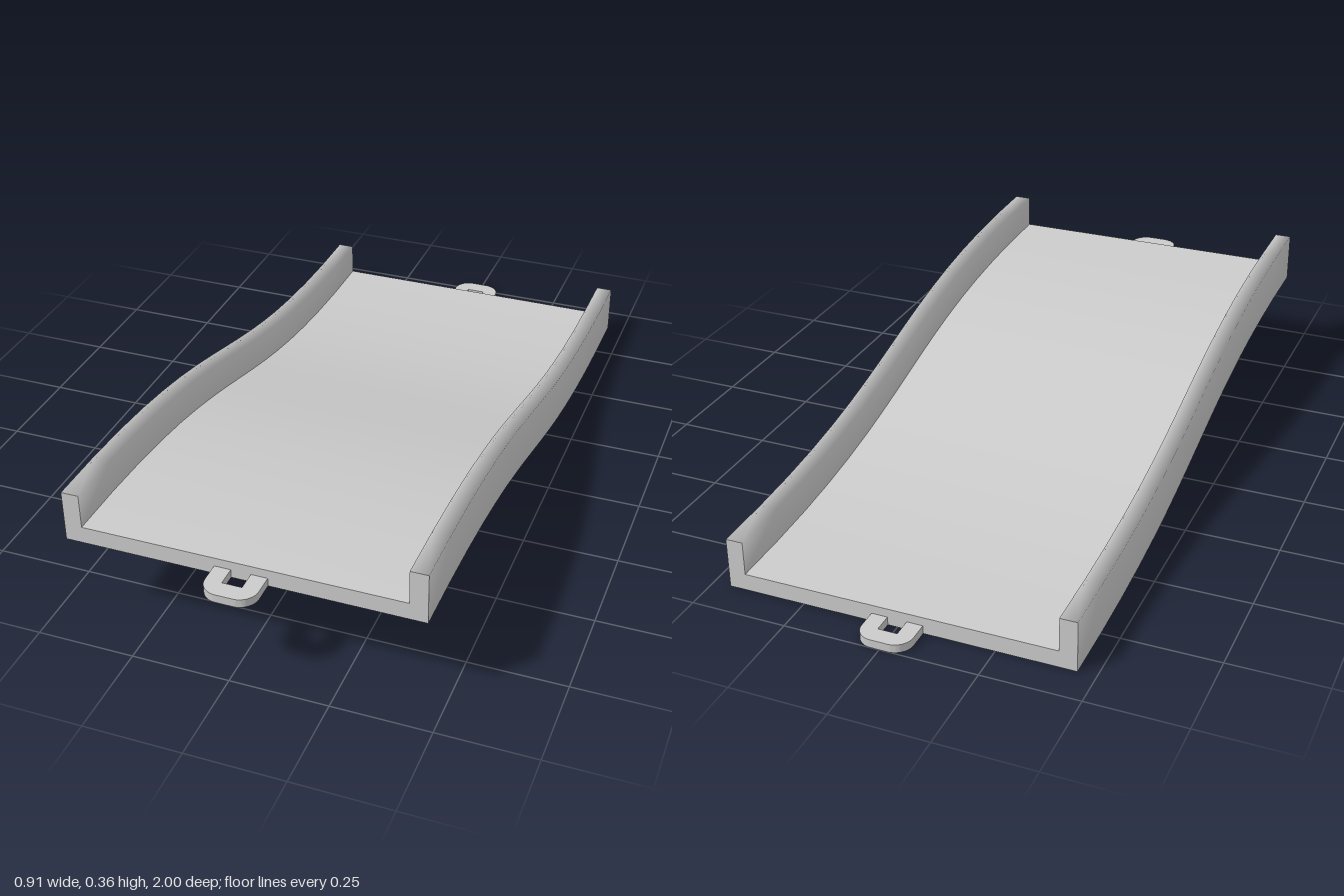
import * as THREE from 'three';
import { toCreasedNormals } from 'three/addons/utils/BufferGeometryUtils.js';

const HALF = 0.905;    // half length of the deck
const RISE = 0.228;    // height of the front end above the back end
const W = 0.453, INNER = 0.408, FLOOR = 0.045, WALL = 0.135;
const STEPS = 16;

const material = new THREE.MeshStandardMaterial({ color: 0xcccccc });

// S-curve from the high front end to the low back end
const path = new THREE.CubicBezierCurve3(
  new THREE.Vector3(0, RISE, HALF),
  new THREE.Vector3(0, RISE, 0),
  new THREE.Vector3(0, 0, 0),
  new THREE.Vector3(0, 0, -HALF)
).getPoints(STEPS);

// Sweep an open piece of the cross-section along the path, keeping it upright
function sweep(points) {
  const pos = [], index = [], n = points.length;
  for (const p of path) for (const [x, y] of points) pos.push(x, p.y + y, p.z);
  for (let i = 0; i < STEPS; i++) {
    for (let j = 0; j < n - 1; j++) {
      const a = i * n + j, b = a + 1, d = a + n, c = d + 1;
      index.push(a, c, b, a, d, c);
    }
  }
  const geo = new THREE.BufferGeometry();
  geo.setAttribute('position', new THREE.Float32BufferAttribute(pos, 3));
  geo.setIndex(index);
  geo.computeVertexNormals();
  return geo;
}

// U-shaped connector loop pointing to +z, its underside at y = 0
function loopGeometry() {
  const w = 0.067, h = 0.025, len = 1 - HALF, r = 0.045, t = 0.022;
  const s = new THREE.Shape();
  s.moveTo(h, 0);
  s.lineTo(w, 0);
  s.lineTo(w, len - r);
  s.absarc(w - r, len - r, r, 0, Math.PI / 2, false);
  s.lineTo(r - w, len);
  s.absarc(r - w, len - r, r, Math.PI / 2, Math.PI, false);
  s.lineTo(-w, 0);
  s.lineTo(-h, 0);
  s.lineTo(-h, 0.05);
  s.lineTo(h, 0.05);
  s.closePath();
  const geo = new THREE.ExtrudeGeometry(s, { depth: t, bevelEnabled: false, curveSegments: 8 });
  geo.rotateX(Math.PI / 2).translate(0, t, HALF);
  return toCreasedNormals(geo, Math.PI / 6);
}

export function createModel() {
  const model = new THREE.Group();
  const add = (name, geo) => {
    const mesh = new THREE.Mesh(geo, material);
    mesh.name = name;
    model.add(mesh);
    return mesh;
  };

  // Channel surfaces: walls are smooth over their tops, other edges are sharp
  const leftWall = [[W, 0], [W, WALL], [INNER, WALL], [INNER, FLOOR]];
  const rightWall = leftWall.map(([x, y]) => [-x, y]).reverse();
  add('underside', sweep([[-W, 0], [W, 0]]));
  add('leftWall', sweep(leftWall));
  add('trackFloor', sweep([[INNER, FLOOR], [-INNER, FLOOR]]));
  add('rightWall', sweep(rightWall));

  // Flat end faces and connector loops
  const section = new THREE.Shape([...leftWall, ...rightWall].map(([x, y]) => new THREE.Vector2(x, y)));
  for (const [end, y, turn] of [['front', RISE, 0], ['back', 0, Math.PI]]) {
    const face = add(end + 'EndFace', new THREE.ShapeGeometry(section).translate(0, 0, HALF));
    const loop = add(end + 'ConnectorLoop', loopGeometry());
    for (const part of [face, loop]) {
      part.position.y = y;
      part.rotation.y = turn;
    }
  }
  return model;
}
